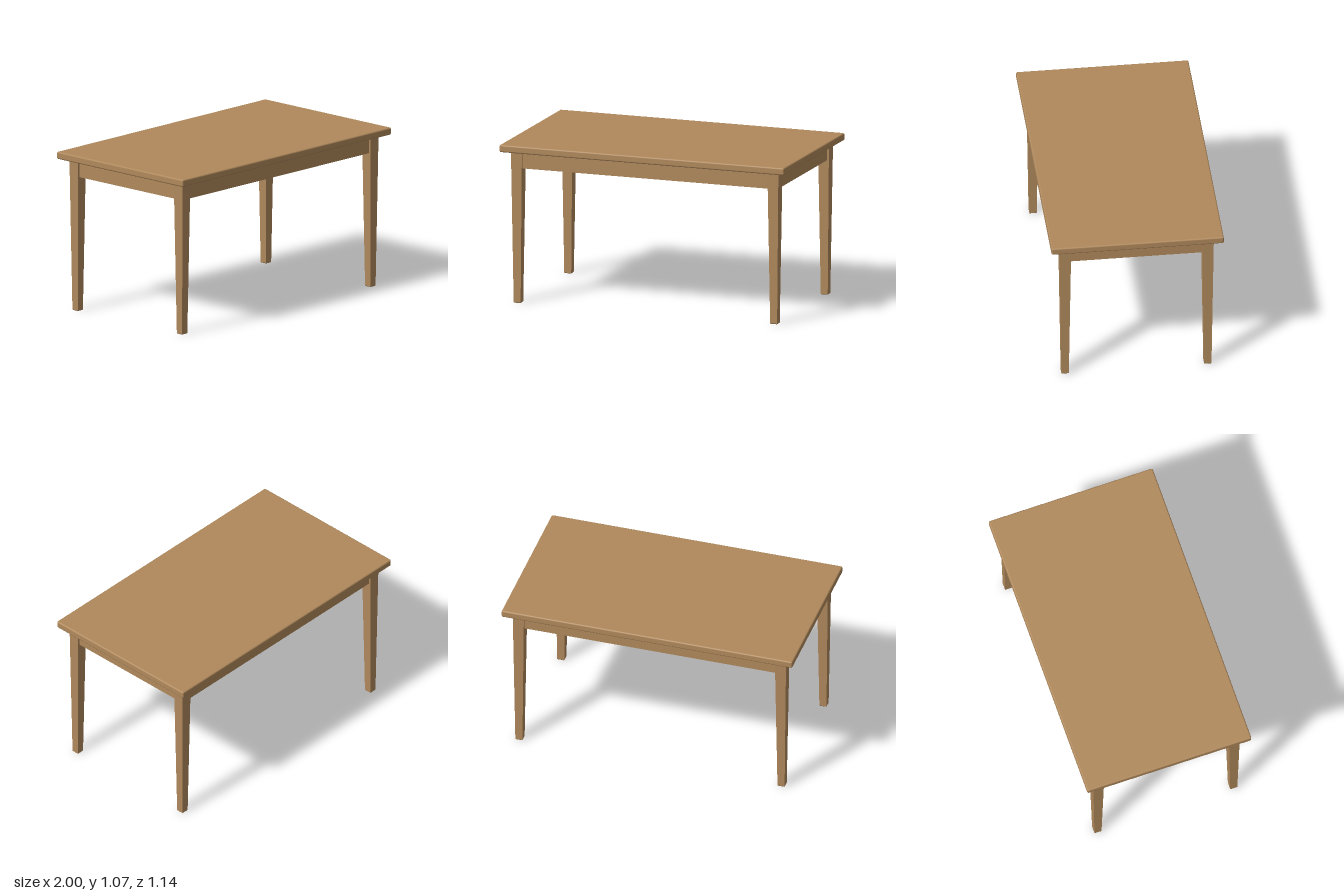
import * as THREE from 'three';
import { RoundedBoxGeometry } from 'three/addons/geometries/RoundedBoxGeometry.js';

const TOP_Y = 1.073, UNDER_Y = 1.024, APRON_Y = 0.91;
const LEG_X = 0.9015, LEG_Z = 0.4725;

// Square tapered leg with a tiny chamfer at the foot
function legGeometry() {
  const profile = [[0, 0], [0.0215, 0], [0.0245, 0.004], [0.0385, UNDER_Y], [0, UNDER_Y]]
    .map(([half, y]) => new THREE.Vector2(half * Math.SQRT2, y));
  const geometry = new THREE.LatheGeometry(profile, 4, Math.PI / 4).toNonIndexed();
  geometry.computeVertexNormals();
  return geometry;
}

export function createModel() {
  const table = new THREE.Group();
  table.name = 'table';
  const wood = new THREE.MeshStandardMaterial({ color: 0xb0895c });
  wood.name = 'warm wood';

  const add = (name, geometry, x, y, z) => {
    const mesh = new THREE.Mesh(geometry, wood);
    mesh.name = name;
    mesh.position.set(x, y, z);
    table.add(mesh);
  };

  // Tabletop with softened edges
  add('tabletop', new RoundedBoxGeometry(2, TOP_Y - UNDER_Y, 1.142, 3, 0.01),
    0, (TOP_Y + UNDER_Y) / 2, 0);

  // Four tapered legs
  const leg = legGeometry();
  for (const [side, sx] of [['Left', 1], ['Right', -1]]) {
    add('front' + side + 'Leg', leg, sx * LEG_X, 0, LEG_Z);
    add('back' + side + 'Leg', leg, sx * LEG_X, 0, -LEG_Z);
  }

  // Apron rails, set slightly back from the outer leg faces
  const height = UNDER_Y - APRON_Y, midY = (UNDER_Y + APRON_Y) / 2, thick = 0.037;
  const longRail = new THREE.BoxGeometry(LEG_X * 2 - 0.04, height, thick);
  const shortRail = new THREE.BoxGeometry(thick, height, LEG_Z * 2 - 0.04);
  add('frontApron', longRail, 0, midY, LEG_Z + 0.005);
  add('backApron', longRail, 0, midY, -LEG_Z - 0.005);
  add('leftApron', shortRail, LEG_X + 0.005, midY, 0);
  add('rightApron', shortRail, -LEG_X - 0.005, midY, 0);

  return table;
}
